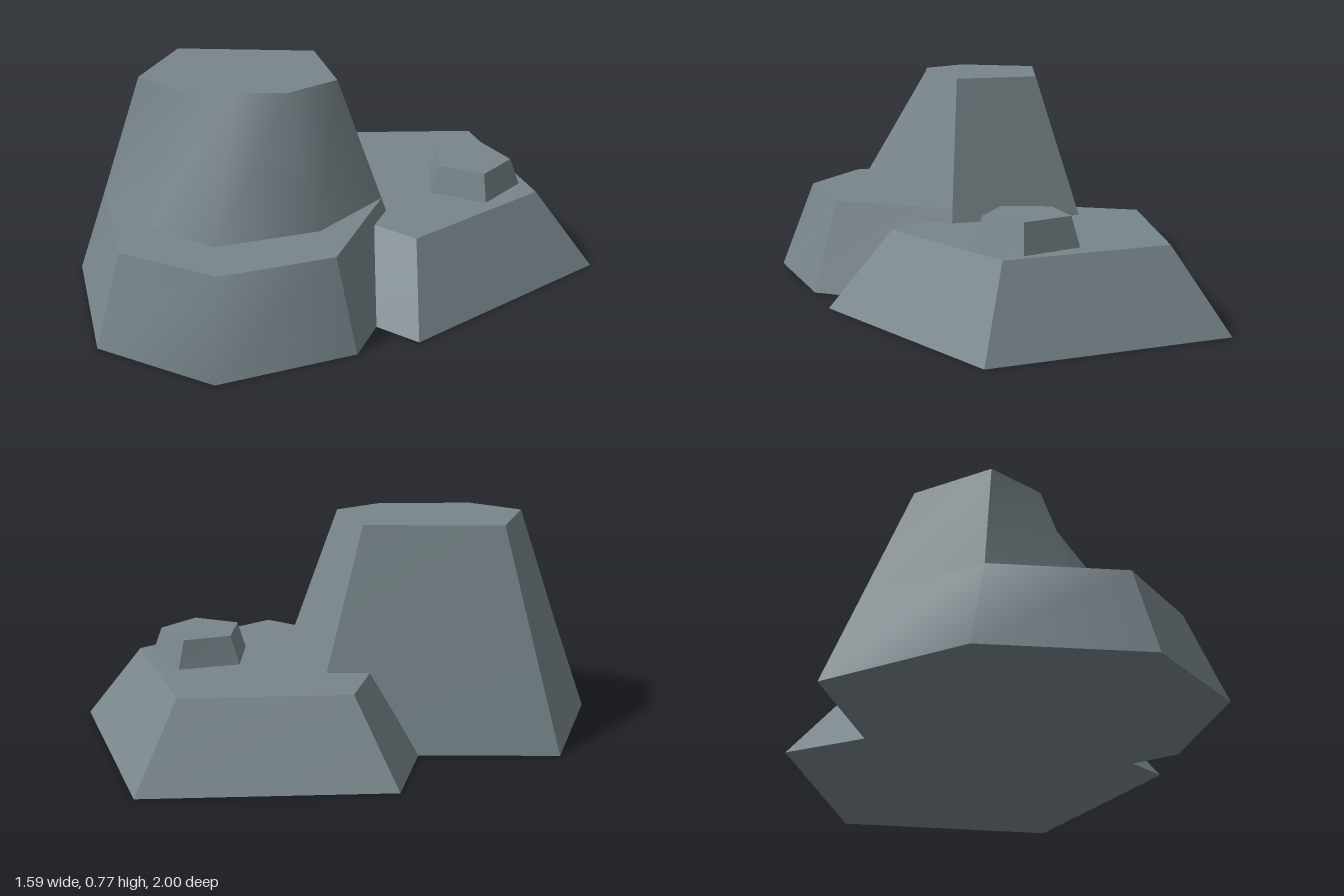
import * as THREE from 'three';
import { mergeVertices, mergeGeometries } from 'three/addons/utils/BufferGeometryUtils.js';

// One smooth-shaded patch from convex polygons; separate patches meet in hard edges
function patch(...polygons) {
  const positions = [];
  for (const p of polygons) {
    for (let i = 1; i < p.length - 1; i++) positions.push(...p[0], ...p[i], ...p[i + 1]);
  }
  const raw = new THREE.BufferGeometry();
  raw.setAttribute('position', new THREE.Float32BufferAttribute(positions, 3));
  const geometry = mergeVertices(raw);
  geometry.computeVertexNormals();
  return geometry;
}

// Ring of [x, z] corners lifted to height y, counter-clockwise seen from above
const ring = (y, corners) => corners.map(([x, z]) => [x, y, z]);

// Wall panel between column i and the next one
function panel(lower, upper, i) {
  const j = (i + 1) % lower.length;
  return [lower[i], lower[j], upper[j], upper[i]];
}

const floorOf = (r) => [...r].reverse();

// Simple faceted block with sloping sides
function block(lower, upper) {
  const walls = lower.map((_, i) => patch(panel(lower, upper, i)));
  return mergeGeometries([...walls, patch(upper), patch(floorOf(lower))]);
}

// Tall boulder with a ledge wrapped around its front
function tallBoulder() {
  const ground = ring(0, [[-0.8, 0.21], [-0.59, 0.71], [-0.11, 1.0], [0.33, 0.87],
    [0.545, 0.43], [0.36, -0.07], [-0.13, -0.37]]);
  const ledge = ring(0.325, [[-0.673, 0.233], [-0.49, 0.65], [-0.1, 0.89], [0.25, 0.77],
    [0.44, 0.42], [0.27, 0], [-0.126, -0.24]]);
  const inner = ring(0.325, [[-0.673, 0.233], [-0.49, 0.65], [-0.15, 0.71], [0.1, 0.65],
    [0.28, 0.33], [0.27, 0], [-0.126, -0.24]]);
  const top = ring(0.77, [[-0.5, 0.265], [-0.38, 0.545], [-0.155, 0.53], [-0.03, 0.415],
    [0.1, 0.3], [0.14, 0.095], [-0.12, -0.06]]);
  const low = (i) => panel(ground, ledge, i);
  const high = (i) => panel(inner, top, i);

  return mergeGeometries([
    patch(low(0), high(0), low(1)),              // left side running into the ledge front
    patch(low(2), low(3)),                       // ledge front right
    patch(low(4)),                               // ledge right end
    patch(low(5), high(5)),                      // back right
    patch(low(6), high(6)),                      // back left
    patch(high(1), high(2), high(3), high(4)),   // rounded upper front
    patch([ledge[1], ledge[2], inner[2]], panel(ledge, inner, 2),
      panel(ledge, inner, 3), [ledge[4], ledge[5], inner[4]]), // ledge surface
    patch(top),
    patch(floorOf(ground)),
  ]);
}

export function createModel() {
  const stone = new THREE.MeshStandardMaterial({ color: 0x78858a });
  stone.name = 'stone grey';
  const group = new THREE.Group();
  group.name = 'rockCluster';

  const add = (name, geometry) => {
    const mesh = new THREE.Mesh(geometry, stone);
    mesh.name = name;
    group.add(mesh);
  };

  add('tallBoulder', tallBoulder());

  // Low slab behind the boulder
  add('flatRock', block(
    ring(0, [[-0.575, -0.4], [-0.17, 0.37], [0.65, 0.235], [0.79, -0.605], [0.04, -1.0]]),
    ring(0.275, [[-0.345, -0.365], [-0.08, 0.155], [0.495, 0.075], [0.59, -0.505], [0.07, -0.78]]),
  ));

  // Small five-sided stone resting on the slab
  add('pebble', block(
    ring(0.27, [[0.17, -0.395], [0.31, -0.23], [0.51, -0.305], [0.505, -0.52], [0.29, -0.58]]),
    ring(0.375, [[0.21, -0.4], [0.315, -0.265], [0.48, -0.325], [0.475, -0.495], [0.295, -0.545]]),
  ));

  return group;
}
